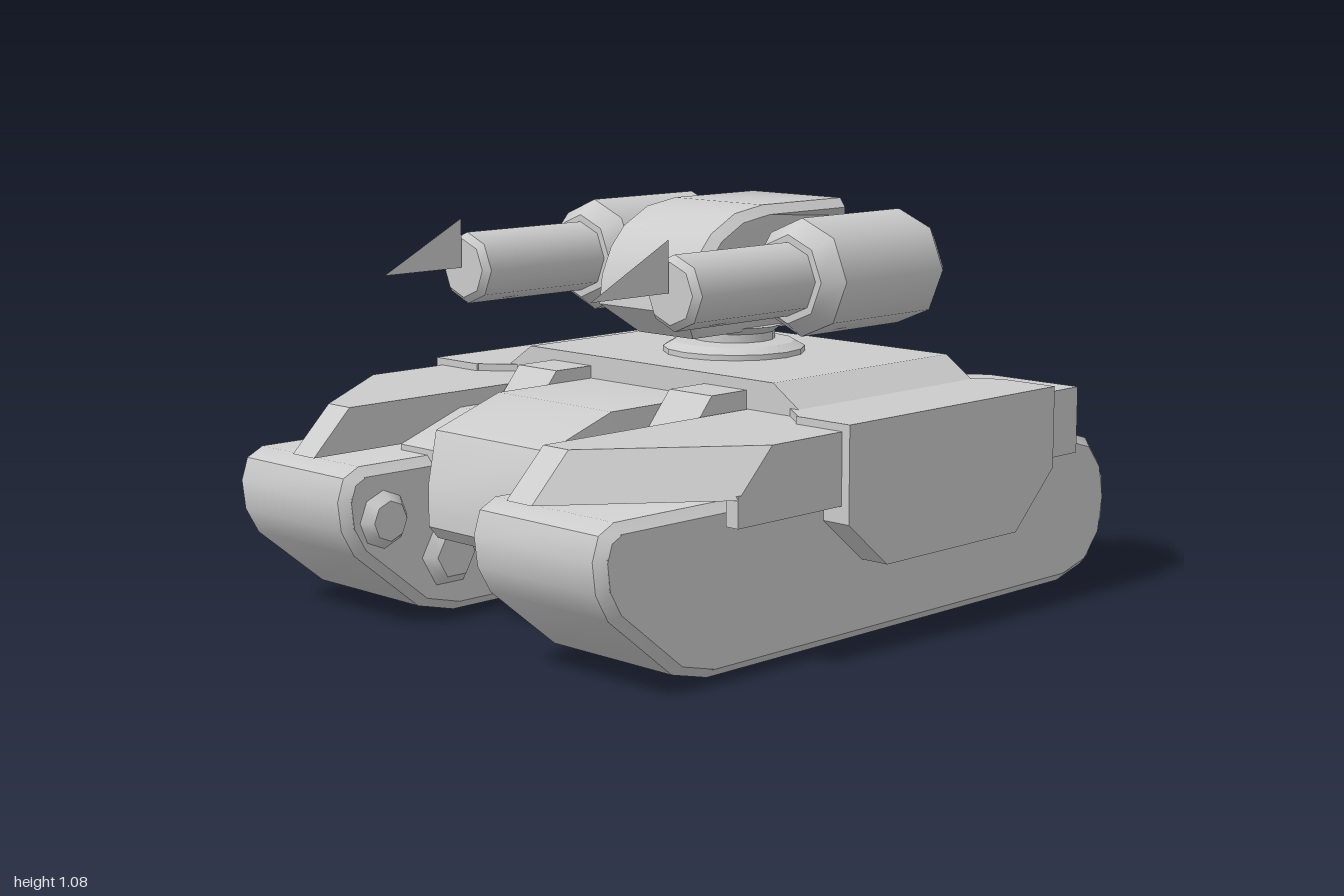
import * as THREE from 'three';
import { toCreasedNormals } from 'three/addons/utils/BufferGeometryUtils.js';

const material = new THREE.MeshStandardMaterial({ color: 0xcccccc });
const CREASE = 0.6;

const toShape = (pts) => new THREE.Shape(pts.map((p) => new THREE.Vector2(...p)));

// Moves every vertex by a rule, then rebuilds the normals
function reshape(geo, rule) {
  const pos = geo.attributes.position;
  const v = new THREE.Vector3();
  for (let i = 0; i < pos.count; i++) {
    rule(v.fromBufferAttribute(pos, i));
    pos.setXYZ(i, v.x, v.y, v.z);
  }
  return toCreasedNormals(geo, CREASE);
}

// Side profile of [z, y] points swept across x, with optional chamfer and hole
function sideSweep(pts, xa, xb, bevel = 0, hole = null, rule = () => {}) {
  const shape = toShape(pts);
  if (hole) shape.holes.push(new THREE.Path(hole.map((p) => new THREE.Vector2(...p))));
  const depth = Math.abs(xb - xa) - 2 * bevel;
  const geo = new THREE.ExtrudeGeometry(shape, {
    depth, bevelEnabled: bevel > 0, bevelSize: bevel, bevelThickness: bevel, bevelOffset: -bevel, bevelSegments: 1,
  });
  geo.translate(0, 0, -depth / 2).rotateY(-Math.PI / 2).translate((xa + xb) / 2, 0, 0);
  return reshape(geo, rule);
}

// Plan outline of [x, z] points raised from y0 to y1
function planSweep(pts, y0, y1, rule = () => {}) {
  const geo = new THREE.ExtrudeGeometry(toShape(pts), { depth: y1 - y0, bevelEnabled: false });
  geo.rotateX(Math.PI / 2).translate(0, y1, 0);
  return reshape(geo, rule);
}

function box(x0, x1, y0, y1, z0, z1) {
  return new THREE.BoxGeometry(Math.abs(x1 - x0), y1 - y0, z1 - z0)
    .translate((x0 + x1) / 2, (y0 + y1) / 2, (z0 + z1) / 2);
}

// Turned part from [radius, height] points; doubled points keep the rings sharp
function turned(pts, sides) {
  const doubled = pts.flatMap((p, i) => {
    const v = new THREE.Vector2(...p);
    return i === 0 || i === pts.length - 1 ? [v] : [v, v.clone()];
  });
  return new THREE.LatheGeometry(doubled, sides);
}

// Disc or drum lying along x
function drum(r0, r1, sides, xa, xb, y, z) {
  return new THREE.CylinderGeometry(r0, r1, Math.abs(xb - xa), sides)
    .rotateZ(-Math.PI / 2).translate((xa + xb) / 2, y, z);
}

export function createModel() {
  const model = new THREE.Group();
  const add = (name, geo, parent = model, mat = material) => {
    const mesh = new THREE.Mesh(geo, mat);
    mesh.name = name;
    parent.add(mesh);
    return mesh;
  };

  // Central hull and deck
  add('hullCore', box(-0.6, 0.6, 0.4, 0.59, -0.56, 0.15));
  add('belly', sideSweep([[-0.6, 0.3], [-0.5, 0.23], [0.6, 0.23], [0.6, 0.5], [-0.6, 0.55]], -0.22, 0.22));
  const deck = new THREE.ExtrudeGeometry(toShape([[-0.56, 0.59], [0.56, 0.59], [0.47, 0.65], [-0.47, 0.65]]),
    { depth: 0.71, bevelEnabled: false }).translate(0, 0, -0.56);
  add('deck', deck);

  // Nose, its face narrowed at the front
  add('nose', sideSweep(
    [[0.1, 0.23], [0.74, 0.23], [0.77, 0.265], [0.77, 0.375], [0.71, 0.51], [0.49, 0.585], [0.1, 0.585]],
    -0.22, 0.22, 0, null, (v) => { if (v.z > 0.73) v.x *= 0.83; }));
  add('noseShelf', sideSweep([[0.1, 0.4], [0.7, 0.4], [0.7, 0.45], [0.49, 0.525], [0.1, 0.525]], -0.38, 0.38));

  // Rear centre
  add('rearBox', sideSweep(
    [[-0.5, 0.4], [-0.68, 0.4], [-0.76, 0.45], [-0.76, 0.53], [-0.61, 0.6], [-0.5, 0.61]], -0.22, 0.22));
  add('rearShelf', sideSweep(
    [[-0.5, 0.42], [-0.68, 0.42], [-0.68, 0.5], [-0.62, 0.56], [-0.5, 0.6]], -0.38, 0.38));

  // Outline and opening of a track loop, as [z, y]
  const trackOuter = [[-0.8, 0], [0.62, 0], [0.74, 0.03], [0.95, 0.2], [0.99, 0.27], [1, 0.35], [0.98, 0.41],
    [0.93, 0.435], [-0.8, 0.43], [-0.92, 0.395], [-0.98, 0.32], [-1, 0.22], [-0.98, 0.11], [-0.91, 0.03]];
  const trackInner = [[-0.8, 0.05], [0.62, 0.05], [0.71, 0.08], [0.9, 0.23], [0.945, 0.29], [0.95, 0.35],
    [0.92, 0.385], [-0.8, 0.38], [-0.89, 0.35], [-0.945, 0.27], [-0.945, 0.17], [-0.89, 0.08]];

  for (const s of [1, -1]) {
    const side = s > 0 ? 'left' : 'right';
    const X = (pts) => pts.map(([x, z]) => [s * x, z]);

    // Track with its wheels and side frame
    const track = new THREE.Group();
    track.name = side + 'Track';
    model.add(track);
    add('trackBelt', sideSweep(trackOuter, s * 0.245, s * 0.715, 0.025, trackInner), track);
    add('trackCore', sideSweep(trackInner, s * 0.33, s * 0.63), track);
    add('sideFrame', sideSweep([[0.5, 0.125], [-0.53, 0.125], [-0.575, 0.17], [-0.575, 0.26], [-0.5, 0.32],
      [0.45, 0.32], [0.5, 0.28]], s * 0.28, s * 0.68), track);
    add('upperRail', box(s * 0.3, s * 0.655, 0.28, 0.325, 0.45, 0.8), track);
    const wheels = [['frontWheel', 0.09, 8, 0.29, 0.87], ['roadWheel', 0.108, 6, 0.165, 0.65],
      ['rearWheel', 0.165, 14, 0.21, -0.79]];
    for (const [name, r, sides, y, z] of wheels) {
      add(name, drum(r, r, sides, s * 0.26, s * 0.7, y, z).toNonIndexed(), track);
    }
    for (const [, r, sides, y, z] of wheels.slice(0, 2)) {
      const [a, b] = s > 0 ? [r, r * 0.6] : [r * 0.6, r];
      add('innerHub', drum(a, b, sides, s * 0.215, s * 0.26, y, z), track);
    }

    // Side armour block
    add(side + 'Skirt', sideSweep([[0.225, 0.59], [-0.62, 0.59], [-0.62, 0.365], [-0.46, 0.21], [0.075, 0.21],
      [0.225, 0.335]], s * 0.62, s * 0.8));
    add(side + 'SkirtTop', planSweep(
      X([[0.5, 0.13], [0.53, 0.15], [0.62, 0.22], [0.7, 0.22], [0.7, -0.62], [0.62, -0.62], [0.54, -0.56], [0.5, -0.54]]),
      0.42, 0.59));

    // Front fender with a slanted leading edge and a hanging flange
    add(side + 'FrontFender', planSweep(
      X([[0.38, 0.1], [0.775, 0.1], [0.775, 0.6], [0.47, 0.99], [0.38, 0.99]]), 0.45, 0.57,
      (v) => { if (v.y > 0.5 && v.z > 0.5) v.z -= 0.12; }));
    add(side + 'FrontFlange', box(s * 0.735, s * 0.775, 0.38, 0.46, 0.15, 0.6));

    // Rear fender sloping down to its tail
    add(side + 'RearFender', planSweep(
      X([[0.38, -0.5], [0.38, -0.7], [0.47, -0.76], [0.775, -0.76], [0.775, -0.5]]), 0.45, 0.57));
    add(side + 'RearFenderTail', planSweep(
      X([[0.47, -0.76], [0.47, -0.965], [0.62, -0.965], [0.775, -0.76]]), 0.45, 0.57,
      (v) => { if (v.z < -0.9 && v.y > 0.5) v.y = 0.51; }));
    add(side + 'RearFlange', box(s * 0.735, s * 0.775, 0.385, 0.46, -0.76, -0.58));

    // Small wedge beside the nose
    add(side + 'NoseWedge', sideSweep([[0.1, 0.5], [0.36, 0.5], [0.36, 0.525], [0.28, 0.62], [0.1, 0.62]],
      s * 0.22, s * 0.375));

    // Gun: octagonal housing, barrel and muzzle blade
    const gun = new THREE.Group();
    gun.name = side + 'Gun';
    gun.position.set(s * 0.4, 0.903, 0);
    model.add(gun);
    add('housing', turned([[0, -0.49], [0.11, -0.49], [0.158, -0.43], [0.158, -0.035], [0.118, 0.02], [0, 0.02]], 8)
      .rotateX(Math.PI / 2), gun);
    add('barrel', turned([[0.098, 0], [0.098, 0.44], [0.08, 0.457], [0, 0.457]], 8).rotateX(Math.PI / 2), gun);
    const blade = new THREE.BufferGeometry();
    blade.setAttribute('position', new THREE.Float32BufferAttribute(
      [0, 0.137, 0.462, 0, 0.002, 0.462, 0, 0.002, 0.73], 3));
    blade.computeVertexNormals();
    add('muzzleBlade', blade, gun, new THREE.MeshStandardMaterial({ color: 0xcccccc, side: THREE.DoubleSide }));

    // Arm joining gun and turret
    add(side + 'GunArm', drum(0.105, 0.105, 6, s * 0.15, s * 0.32, 0.903, -0.245));
  }

  // Turret ring, neck and chamfered head
  add('turretRing', turned([[0.2, 0.64], [0.2, 0.665], [0.17, 0.682], [0.115, 0.687], [0.115, 0.71], [0.14, 0.73],
    [0, 0.73]], 16).translate(0, 0, -0.195));
  add('turretHead', sideSweep(
    [[0.075, 0.72], [0.165, 0.8], [0.155, 0.88], [0.12, 0.955], [0.07, 1.01], [-0.02, 1.058], [-0.13, 1.075],
      [-0.45, 1.075], [-0.51, 1.035], [-0.51, 0.82], [-0.42, 0.72]],
    -0.193, 0.193, 0.025, null,
    (v) => {
      if (v.y < 0.76) v.x *= 0.62;
      if (v.z < -0.48) v.x *= 0.8;
    }));
  return model;
}
